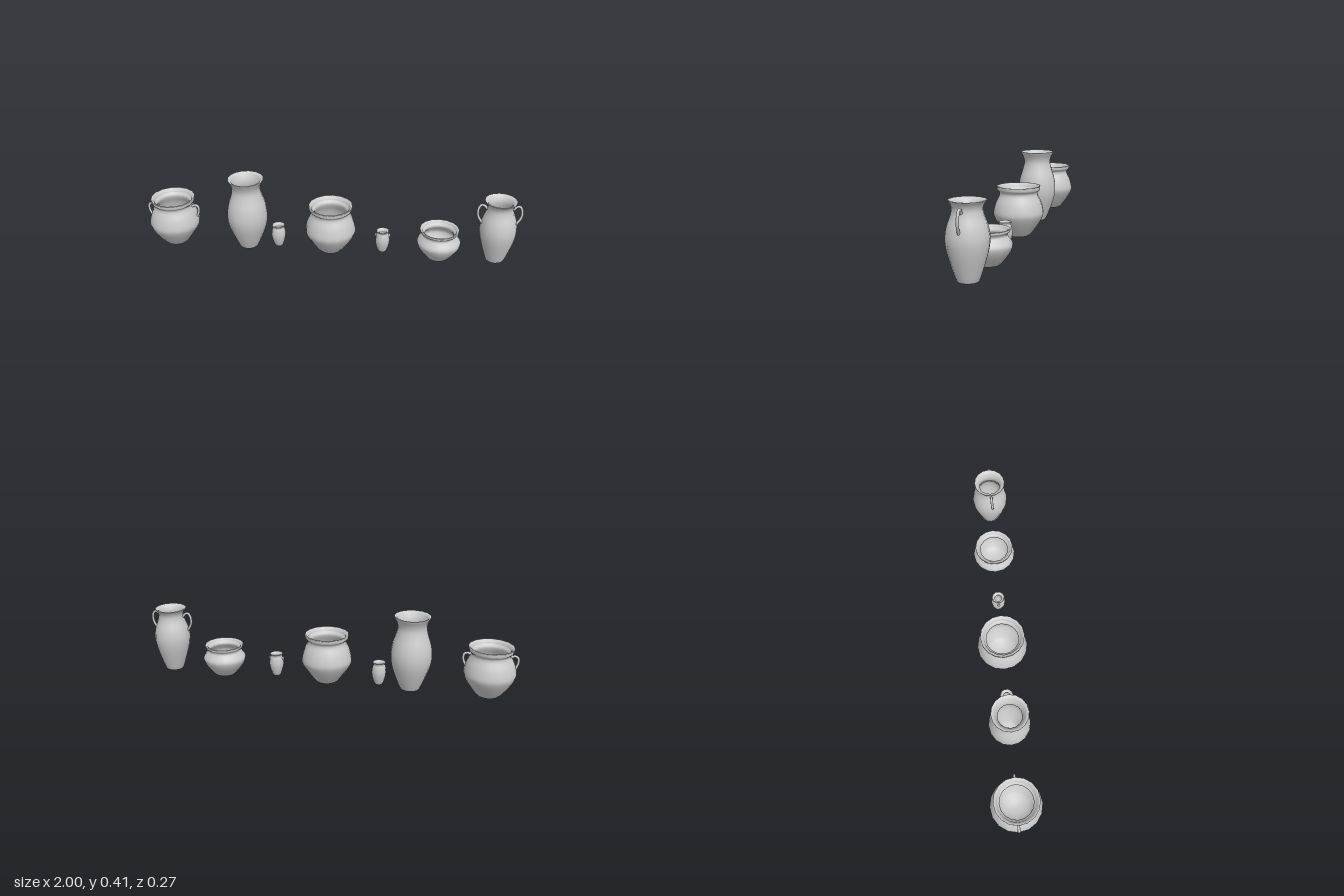
import * as THREE from 'three';

const material = new THREE.MeshStandardMaterial({ color: 0xcccccc, side: THREE.DoubleSide });

// Hollow pot: smooth outer wall from foot to rim, then the inner wall down to a floor
function makePot(name, x, outer, wall, sides) {
  const curve = new THREE.SplineCurve(outer.map(([r, y]) => new THREE.Vector2(r, y)));
  const outside = curve.getPoints(outer.length * 3);
  const [footR, footY] = outer[0];
  const rimY = outer[outer.length - 1][1];
  const floorY = footY + wall;
  const inside = outside
    .filter((p) => p.y > floorY + wall * 0.5 && p.y < rimY - wall * 0.4)
    .map((p) => new THREE.Vector2(p.x - wall, p.y))
    .reverse();
  const rim = outside[outside.length - 1];
  const profile = [
    new THREE.Vector2(0, footY), new THREE.Vector2(footR * 0.94, footY),
    ...outside,
    new THREE.Vector2(rim.x - wall * 0.4, rimY),
    ...inside,
    new THREE.Vector2(footR * 0.7, floorY), new THREE.Vector2(0, floorY),
  ];
  const group = new THREE.Group();
  group.name = name;
  group.position.x = x;
  const body = new THREE.Mesh(new THREE.LatheGeometry(profile, sides), material);
  body.name = name + 'Body';
  group.add(body);
  return group;
}

// Mirrored pair of looped handles, path given as [x, y, z] on the +x side
function addHandles(pot, path, radius) {
  for (const side of [1, -1]) {
    const points = path.map(([x, y, z]) => new THREE.Vector3(side * x, y, z));
    const tube = new THREE.TubeGeometry(new THREE.CatmullRomCurve3(points), 20, radius, 8);
    const handle = new THREE.Mesh(tube, material);
    handle.name = side > 0 ? 'leftHandle' : 'rightHandle';
    pot.add(handle);
  }
}

export function createModel() {
  const model = new THREE.Group();
  model.name = 'potteryRow';

  // Wide-mouthed round jars, one of them with handles
  const jar = [[0.052, 0.013], [0.068, 0.025], [0.105, 0.075], [0.131, 0.12], [0.134, 0.15],
    [0.122, 0.195], [0.104, 0.232], [0.103, 0.25], [0.115, 0.263], [0.117, 0.282]];
  const handledJar = makePot('handledJar', -0.857, jar, 0.016, 16);
  addHandles(handledJar, [[0.1, 0.232, 0], [0.122, 0.239, 0], [0.136, 0.228, 0],
    [0.137, 0.2, 0], [0.127, 0.172, 0]], 0.007);
  model.add(handledJar, makePot('roundJar', 0, jar, 0.016, 16));

  // Tall vase with a flared mouth
  model.add(makePot('tallVase', -0.451, [[0.047, 0.01], [0.056, 0.022], [0.082, 0.085],
    [0.103, 0.15], [0.109, 0.205], [0.102, 0.26], [0.085, 0.315], [0.076, 0.355],
    [0.082, 0.385], [0.094, 0.408], [0.095, 0.415]], 0.014, 16));

  // Small cups, one of them with lugs
  const cup = [[0.02, 0.021], [0.027, 0.034], [0.036, 0.065], [0.039, 0.092],
    [0.035, 0.12], [0.031, 0.132], [0.035, 0.145]];
  const luggedCup = makePot('luggedCup', 0.281, cup, 0.012, 10);
  for (const side of [1, -1]) {
    const lug = new THREE.Mesh(new THREE.SphereGeometry(0.007, 8, 6), material);
    lug.name = side > 0 ? 'leftLug' : 'rightLug';
    lug.position.set(side * 0.036, 0.118, 0);
    lug.scale.y = 1.5;
    luggedCup.add(lug);
  }
  model.add(makePot('smallCup', -0.284, cup, 0.012, 10), luggedCup);

  // Low bowl with a pinched neck
  model.add(makePot('lowBowl', 0.58, [[0.05, 0.002], [0.062, 0.01], [0.098, 0.055],
    [0.115, 0.088], [0.114, 0.108], [0.099, 0.13], [0.091, 0.143], [0.094, 0.154],
    [0.104, 0.163], [0.104, 0.174]], 0.014, 16));

  // Two-handled amphora
  const amphora = makePot('amphora', 0.881, [[0.045, 0.008], [0.053, 0.02], [0.076, 0.09],
    [0.092, 0.15], [0.097, 0.2], [0.089, 0.25], [0.073, 0.295], [0.068, 0.325],
    [0.074, 0.345], [0.083, 0.358], [0.083, 0.362]], 0.013, 16);
  addHandles(amphora, [[0.067, 0.315, 0.005], [0.084, 0.333, 0.005], [0.1, 0.333, 0.005],
    [0.112, 0.305, 0.006], [0.109, 0.27, 0.008], [0.087, 0.232, 0.01]], 0.007);
  model.add(amphora);

  return model;
}
